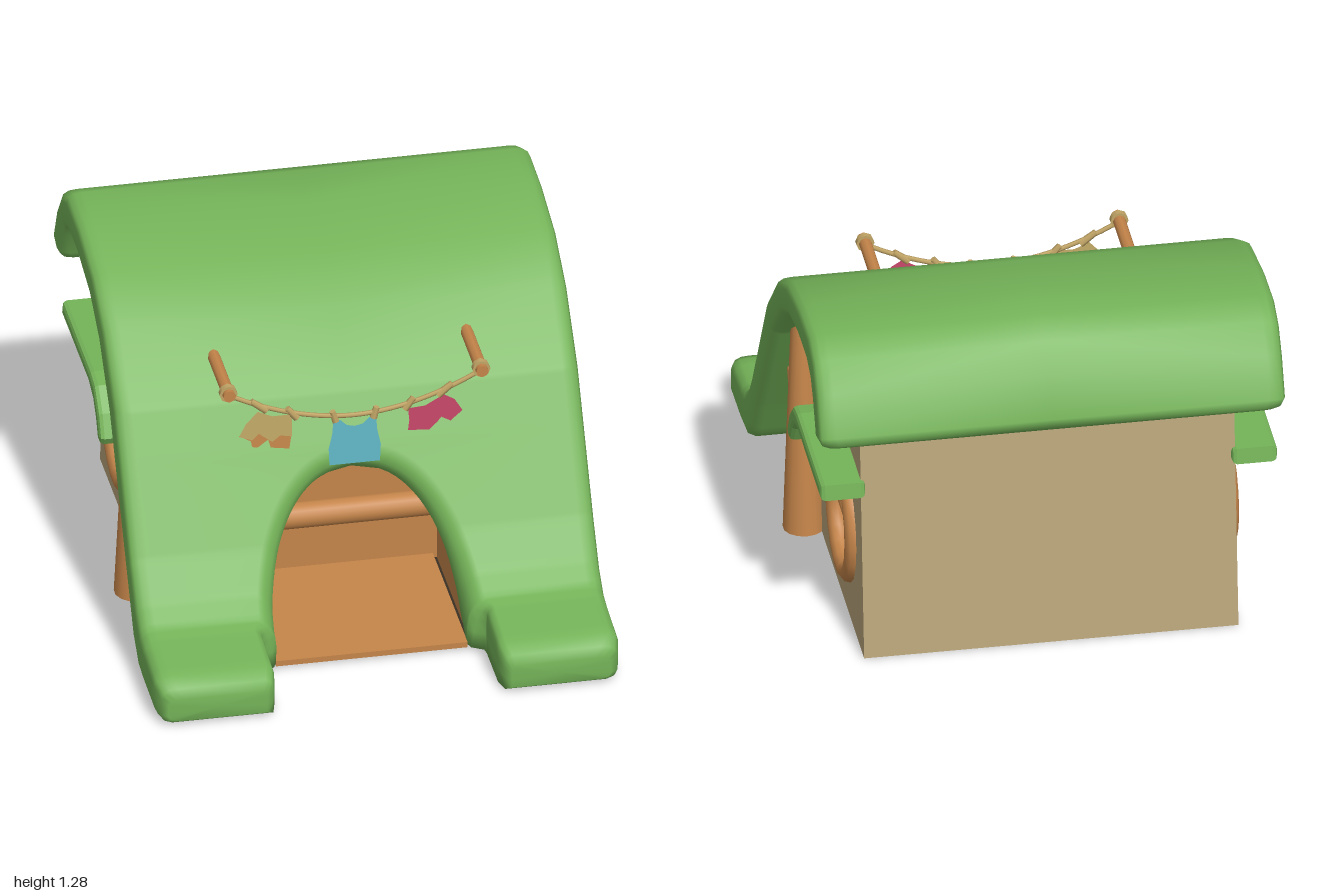
import * as THREE from 'three';
import { mergeVertices } from 'three/addons/utils/BufferGeometryUtils.js';

const mat = (name, color, side = THREE.FrontSide) => {
  const m = new THREE.MeshStandardMaterial({ color, side });
  m.name = name;
  return m;
};

// Roof cross-section stations, front to back: outer z, outer y, inner z, inner y, side inset, subdivisions
const STATIONS = [
  [1.0, 0.11, 1.0, 0.02, 0.04, 1], [0.988, 0.15, 0.988, 0.01, 0.015, 1], [0.93, 0.175, 0.93, 0.01, 0, 4],
  [0.72, 0.2, 0.72, 0.01, 0, 4], [0.66, 0.215, 0.63, 0.02, 0, 4], [0.58, 0.28, 0.53, 0.09, 0, 5],
  [0.48, 0.41, 0.41, 0.28, 0, 32], [0.19, 0.88, 0.06, 0.81, 0, 1], [-0.03, 1.1, -0.13, 1.0, 0, 1],
  [-0.25, 1.22, -0.3, 1.09, 0, 1], [-0.52, 1.27, -0.52, 1.13, 0, 1], [-0.74, 1.28, -0.7, 1.13, 0, 1],
  [-0.85, 1.23, -0.78, 1.1, 0, 1], [-0.93, 1.13, -0.82, 1.05, 0, 1], [-1.0, 0.98, -0.88, 0.94, 0, 1],
  [-0.99, 0.94, -0.89, 0.915, 0.015, 1], [-0.96, 0.915, -0.91, 0.908, 0.04, 1],
];
// Door arch lip, inside to outside: thickness fraction, half width, height, half width between the feet
const LIP = [
  [0, 0.36, 0.59, 0.42], [0.35, 0.36, 0.595, 0.42], [0.62, 0.37, 0.615, 0.42],
  [0.82, 0.39, 0.645, 0.422], [0.94, 0.415, 0.675, 0.43], [1, 0.44, 0.71, 0.45],
];
// Rounded outer edge: thickness fraction, x
const EDGE = [[1, 0.81], [0.98, 0.84], [0.9, 0.862], [0.75, 0.872], [0.25, 0.872], [0.08, 0.86], [0, 0.83]];

function roofGeometry() {
  const rows = [];
  STATIONS.forEach((s, k) => {
    const next = STATIONS[k + 1] || s;
    for (let j = 0; j < s[5]; j++) rows.push(s.map((v, i) => v + (next[i] - v) * j / s[5]));
  });
  const n = LIP.length + EDGE.length, pos = [], index = [];
  for (const side of [1, -1]) {
    const start = pos.length / 3;
    const put = (x, r, t) => {
      const z = r[2] + (r[0] - r[2]) * t, y = r[3] + (r[1] - r[3]) * t;
      pos.push(side * (typeof x === 'function' ? x(z, y) : x), y, z);
    };
    const tri = (a, b, c) => index.push(...(side > 0 ? [a, b, c] : [a, c, b]));
    for (const r of rows) {
      for (const [t, a, h, foot] of LIP) put((z, y) => {
        const arch = y < h ? a * (1 - (y / h) ** 2.25) ** (1 / 2.25) : 0;
        const f = THREE.MathUtils.clamp((z - 0.67) / 0.03, 0, 1);
        return arch + (foot - arch) * f + (z > 0.9 ? r[4] : 0);
      }, r, t);
      for (const [t, x] of EDGE) put(x - r[4], r, t);
    }
    const X = i => Math.abs(pos[i * 3]);
    for (let k = 0; k < rows.length - 1; k++) for (let i = 0; i < n; i++) {
      const a = start + k * n + i, b = start + k * n + (i + 1) % n, c = b + n, d = a + n;
      if (Math.max(X(a), X(b), X(c), X(d)) < 1e-6) continue;
      tri(a, b, c);
      tri(a, c, d);
    }
    // End caps
    for (const [k, x] of [[0, 0.64], [rows.length - 1, 0.42]]) {
      const mid = pos.length / 3;
      put(x, rows[k], 0.5);
      for (let i = 0; i < n; i++) {
        const a = start + k * n + i, b = start + k * n + (i + 1) % n;
        k ? tri(mid, a, b) : tri(mid, b, a);
      }
    }
  }
  let g = new THREE.BufferGeometry();
  g.setAttribute('position', new THREE.Float32BufferAttribute(pos, 3));
  g.setIndex(index);
  g = mergeVertices(g, 1e-4);
  g.computeVertexNormals();
  return g;
}

const outline = pts => new THREE.Shape(pts.map(p => new THREE.Vector2(...p)));
const V = (x, y, z) => new THREE.Vector3(x, y, z);

export function createModel() {
  const root = new THREE.Group();
  root.name = 'hillHouse';
  const green = mat('grass green', 0x74b358, THREE.DoubleSide);
  const wood = mat('warm wood', 0xc5854a);
  const tan = mat('clay wall', 0xb9a67a);
  const dark = mat('dark base', 0x3a3024);
  const rope = mat('rope', 0xc2a566);
  const sand = mat('sand cloth', 0xc4ab68, THREE.DoubleSide);
  const orange = mat('orange cloth', 0xc98a4c, THREE.DoubleSide);
  const blue = mat('blue cloth', 0x63b9c9, THREE.DoubleSide);
  const red = mat('red cloth', 0xc8486a, THREE.DoubleSide);

  const add = (name, geo, m, x = 0, y = 0, z = 0) => {
    const mesh = new THREE.Mesh(geo, m);
    mesh.name = name;
    mesh.position.set(x, y, z);
    root.add(mesh);
    return mesh;
  };
  const rod = (name, a, b, ra, rb, m, seg = 10) => {
    const dir = b.clone().sub(a), mid = a.clone().add(b).multiplyScalar(0.5);
    const mesh = add(name, new THREE.CylinderGeometry(rb, ra, dir.length(), seg), m, mid.x, mid.y, mid.z);
    mesh.quaternion.setFromUnitVectors(V(0, 1, 0), dir.normalize());
    return mesh;
  };
  // Plate drawn in (z, y), centred on x with the given width
  const sidePlate = (name, shape, width, m, x, bevel = 0) => {
    const g = new THREE.ExtrudeGeometry(shape, {
      depth: width - 2 * bevel, curveSegments: 24, bevelEnabled: bevel > 0,
      bevelSize: bevel, bevelThickness: bevel, bevelOffset: -bevel, bevelSegments: 2,
    });
    g.translate(0, 0, -(width - 2 * bevel) / 2).rotateY(-Math.PI / 2);
    return add(name, g, m, x);
  };

  add('roof', roofGeometry(), green);

  // Walls and base
  const wallShape = outline([[0.63, 0], [0.63, 0.04], [0.53, 0.13], [0.42, 0.3], [0.08, 0.83], [-0.12, 1.02],
    [-0.31, 1.12], [-0.52, 1.16], [-0.7, 1.16], [-0.8, 1.11], [-0.85, 1.04], [-0.96, 0]]);
  const hole = new THREE.Path();
  hole.absarc(-0.545, 0.365, 0.2, 0, Math.PI * 2, true);
  wallShape.holes.push(hole);
  const backShape = outline([[-0.85, 1.04], [-0.96, 0], [-0.91, 0], [-0.8, 1.04]]);
  sidePlate('backWall', backShape, 1.4, tan, 0);
  add('base', new THREE.BoxGeometry(1.39, 0.01, 1.58), dark, 0, 0.006, -0.16);

  // Entrance hall
  add('hallFloor', new THREE.BoxGeometry(0.72, 0.022, 0.66), wood, 0, 0.019, 0.33);
  add('hallBackWall', new THREE.BoxGeometry(0.78, 0.8, 0.03), wood, 0, 0.41, -0.015);
  rod('hallRail', V(-0.38, 0.275, 0.04), V(0.38, 0.275, 0.04), 0.05, 0.05, wood, 16);
  const hallSide = outline([[0, 0.01], [0.58, 0.01], [0.46, 0.18], [0.06, 0.8], [0, 0.8]]);

  const awning = outline([[-0.178, 0.55], [-0.22, 0.635], [-0.3, 0.71], [-0.38, 0.725], [-0.905, 0.725],
    [-0.915, 0.665], [-0.4, 0.665], [-0.32, 0.64], [-0.27, 0.59], [-0.23, 0.52], [-0.195, 0.52]]);

  for (const s of [1, -1]) {
    sidePlate('sideWall', wallShape, 0.05, tan, s * 0.675);
    sidePlate('hallSide', hallSide, 0.02, wood, s * 0.385);
    sidePlate('windowAwning', awning, 0.17, green, s * 0.77, 0.018);

    // Round window
    const ring = add('windowRing', new THREE.TorusGeometry(0.208, 0.038, 10, 18), wood, s * 0.7, 0.365, -0.545);
    ring.rotation.y = Math.PI / 2;
    rod('windowBar', V(s * 0.7, 0.425, -0.35), V(s * 0.7, 0.425, -0.74), 0.023, 0.023, wood);
    rod('windowBar', V(s * 0.7, 0.425, -0.545), V(s * 0.7, 0.57, -0.545), 0.022, 0.022, wood);

    // Tree trunk post with a branch
    rod('post', V(s * 0.76, 0, 0.002), V(s * 0.76, 0.92, 0.04), 0.078, 0.04, wood, 14);
    rod('postBranch', V(s * 0.76, 0.29, 0.03), V(s * 0.76, 0.57, 0.25), 0.035, 0.022, wood);

    // Clothesline pole with a rope knot
    rod('linePole', V(s * 0.475, 1, 0.04), V(s * 0.475, 1, 0.36), 0.024, 0.024, wood, 8);
    rod('poleKnot', V(s * 0.475, 1, 0.318), V(s * 0.475, 1, 0.342), 0.034, 0.034, rope, 8);
  }

  // Clothesline
  const lineY = x => 0.853 + 0.137 * (Math.abs(x) / 0.475) ** 1.9;
  const path = [];
  for (let i = 0; i <= 12; i++) {
    const x = -0.475 + 0.95 * i / 12;
    path.push(V(x, lineY(x), 0.33));
  }
  add('clothesline', new THREE.TubeGeometry(new THREE.CatmullRomCurve3(path), 28, 0.009, 6), rope);
  for (const x of [-0.36, -0.235, -0.077, 0.077, 0.205, 0.34]) {
    const lean = x * 0.08;
    rod('peg', V(x - lean, lineY(x) - 0.024, 0.33), V(x + lean, lineY(x) + 0.02, 0.33), 0.015, 0.012, rope, 6);
  }

  // Laundry
  const cloth = (name, pts, m, z) => add(name, new THREE.ShapeGeometry(outline(pts)), m, 0, 0, z);
  cloth('blueShirt', [[-0.095, 0.65], [0.095, 0.65], [0.098, 0.72], [0.085, 0.78], [0.08, 0.84], [0.055, 0.84],
    [0.03, 0.815], [0, 0.808], [-0.03, 0.815], [-0.055, 0.84], [-0.08, 0.84], [-0.085, 0.78], [-0.098, 0.72]], blue, 0.335);
  cloth('sandShirt', [[-0.365, 0.91], [-0.31, 0.885], [-0.235, 0.885], [-0.235, 0.79], [-0.28, 0.8], [-0.31, 0.775],
    [-0.36, 0.815], [-0.385, 0.79], [-0.435, 0.81], [-0.41, 0.86]], sand, 0.336);
  cloth('orangeHem', [[-0.435, 0.812], [-0.3, 0.85], [-0.235, 0.82], [-0.245, 0.738], [-0.315, 0.75], [-0.325, 0.785],
    [-0.365, 0.755], [-0.385, 0.76], [-0.39, 0.785]], orange, 0.333);
  cloth('redShorts', [[0.2, 0.86], [0.265, 0.865], [0.335, 0.905], [0.375, 0.88], [0.405, 0.83], [0.36, 0.79],
    [0.325, 0.81], [0.31, 0.79], [0.28, 0.76], [0.2, 0.768], [0.205, 0.81]], red, 0.335);

  return root;
}
